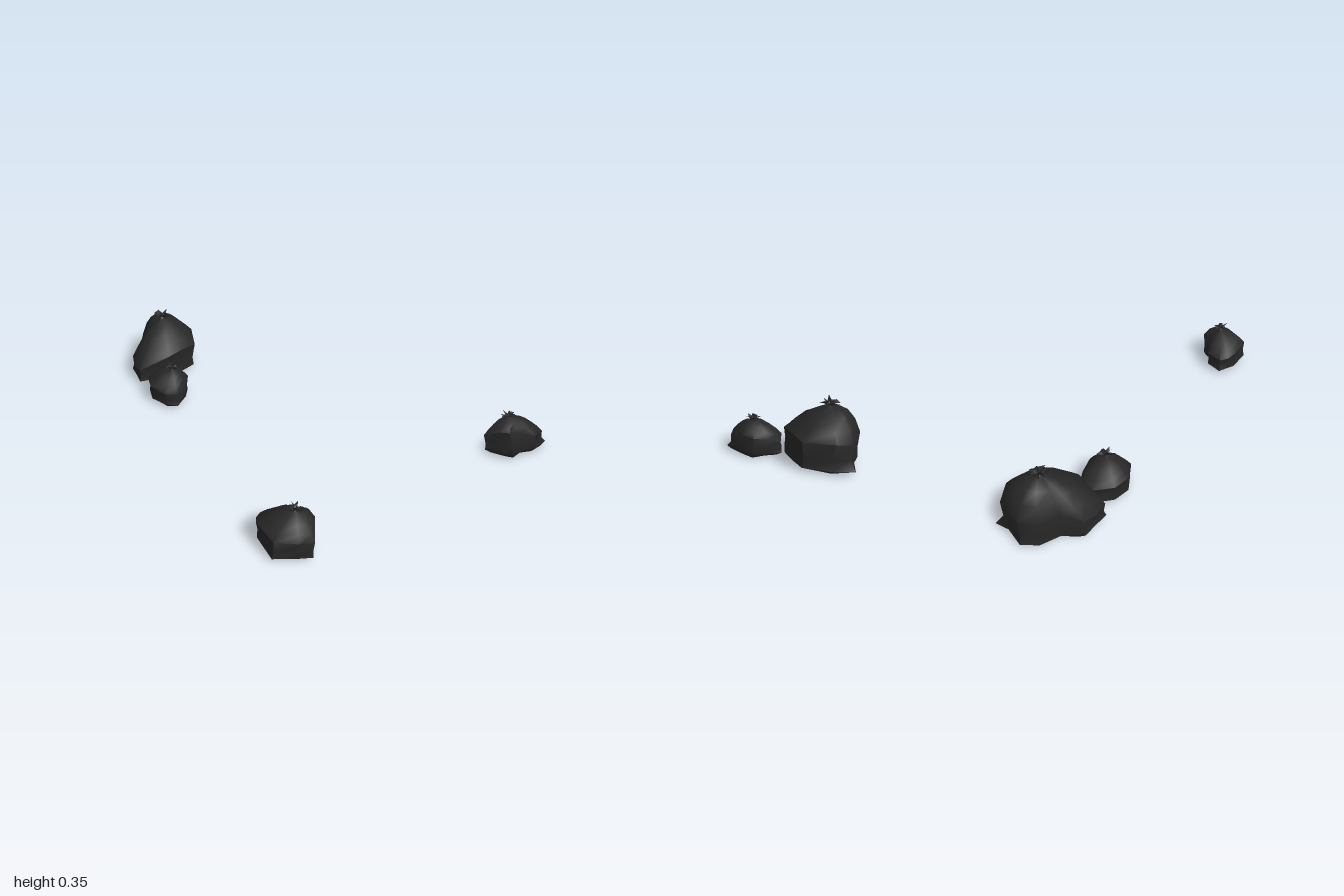
import * as THREE from 'three';
import { toCreasedNormals } from 'three/addons/utils/BufferGeometryUtils.js';

const plastic = new THREE.MeshStandardMaterial({ color: 0x272727, side: THREE.DoubleSide });
plastic.name = 'black plastic';

// Joins closed rings of points (listed bottom to top) into a skin
function loft(rings, crease) {
  const n = rings[0].length, index = [];
  for (let r = 0; r < rings.length - 1; r++) {
    for (let i = 0; i < n; i++) {
      const j = (i + 1) % n, a = r * n + i, b = r * n + j, c = a + n, d = b + n;
      index.push(a, c, b, b, c, d);
    }
  }
  const g = new THREE.BufferGeometry();
  g.setAttribute('position', new THREE.Float32BufferAttribute(rings.flat(2), 3));
  g.setIndex(index);
  return toCreasedNormals(g, crease);
}

// Outline points run clockwise from the back: [x, z, shoulder height, tuck].
// A tuck below 1 pulls the shoulder in and leaves a pointed corner at the foot.
function sack([nx, nz], top, bulge, backBulge, outline) {
  const ribs = outline.map(([x, z, shoulder, tuck = 1]) => {
    const dx = x - nx, dz = z - nz;
    const power = bulge + backBulge * Math.max(0, -dz / Math.hypot(dx, dz));
    return { dx, dz, shoulder, tuck, power, foot: tuck < 1 ? 1 : 0.95 };
  });
  const ring = (f) => ribs.map((rib, i) => {
    const [t, y] = f(rib, i);
    return [nx + rib.dx * t, y, nz + rib.dz * t];
  });
  const rings = [
    ring(() => [0.001, 0.02]),
    ring((p, i) => [p.foot * 0.82, i % 3 ? 0.008 : 0]),
    ring((p) => [p.foot, 0.025]),
    ring((p) => [Math.min(p.foot, p.tuck) * 0.97, 0.025 + p.shoulder * 0.3]),
    ring((p) => [p.tuck, p.shoulder]),
  ];
  // Upper slope gathering to the neck, with light pleats near the tie
  for (const t of [0.8, 0.55, 0.32, 0.12]) {
    rings.push(ring((p, i) => [
      p.tuck * t * (t < 0.5 && i % 2 ? 0.85 : 1),
      p.shoulder + (top - p.shoulder) * (1 - t ** p.power),
    ]));
  }
  return loft(rings, 0.85);
}

// Ruffled, ragged plastic above the tie
function ruffle(size, seed) {
  const n = 16, levels = [[0.5, -0.25], [0.28, 0.1], [0.6, 0.4], [1, 0.5]];
  return loft(levels.map(([radius, y], k) => Array.from({ length: n }, (_, i) => {
    const a = -i / n * Math.PI * 2;
    const fold = k < 2 ? 1 : 1 + 0.35 * Math.cos(i * Math.PI) + 0.2 * Math.sin(i * 1.9 + seed);
    const lift = k < 2 ? 0 : 0.14 * Math.sin(i * 2.3 + seed * 2) * (k - 1);
    const r = size * radius * fold;
    return [Math.cos(a) * r, size * (y + lift), Math.sin(a) * r];
  })), 0.5);
}

// One tied bag: sack and knot
function makeBag(name, neck, top, knot, bulge, backBulge, outline) {
  const bag = new THREE.Group();
  bag.name = name;
  const body = new THREE.Mesh(sack(neck, top, bulge, backBulge, outline), plastic);
  body.name = 'sack';
  const tie = new THREE.Mesh(ruffle(knot, neck[1] * 2), plastic);
  tie.name = 'knot';
  tie.position.set(neck[0], top - knot * 0.05, neck[1]);
  tie.rotation.z = -0.2;
  bag.add(body, tie);
  return bag;
}

export function createModel() {
  const model = new THREE.Group();
  model.name = 'rubbishBags';

  const largeOutline = [
    [0.02, -1, 0.17, 0.99], [0.13, -0.96, 0.17], [0.2, -0.955, 0.16, 0.84],
    [0.212, -0.84, 0.18], [0.165, -0.68, 0.17], [0.07, -0.64, 0.18],
    [-0.03, -0.61, 0.17], [-0.205, -0.645, 0.1, 0.99], [-0.21, -0.72, 0.1],
    [-0.196, -0.8, 0.11, 0.97], [-0.11, -0.86, 0.16], [-0.06, -0.96, 0.16],
  ];
  model.add(makeBag('largeBag', [0.02, -0.83], 0.318, 0.04, 1.6, 1.6, largeOutline));

  const middleOutline = [
    [-0.105, -0.615, 0.1, 0.97], [-0.015, -0.605, 0.09, 0.95], [0.005, -0.53, 0.11],
    [0.02, -0.45, 0.12], [-0.02, -0.385, 0.12], [-0.1, -0.32, 0.09, 0.87],
    [-0.16, -0.355, 0.1], [-0.21, -0.45, 0.11], [-0.19, -0.545, 0.11],
  ];
  model.add(makeBag('middleBag', [-0.075, -0.45], 0.193, 0.03, 1.9, 0, middleOutline));

  const frontOutline = [
    [-0.125, 0.683, 0.09, 0.93], [-0.03, 0.71, 0.1], [0, 0.785, 0.13],
    [0.057, 0.82, 0.15], [0.054, 0.88, 0.155], [-0.005, 0.985, 0.11, 0.98],
    [-0.075, 0.965, 0.12], [-0.175, 0.915, 0.12, 0.97], [-0.18, 0.77, 0.12],
    [-0.155, 0.725, 0.1],
  ];
  model.add(makeBag('frontBag', [-0.035, 0.85], 0.208, 0.03, 1.8, 0, frontOutline));

  return model;
}
